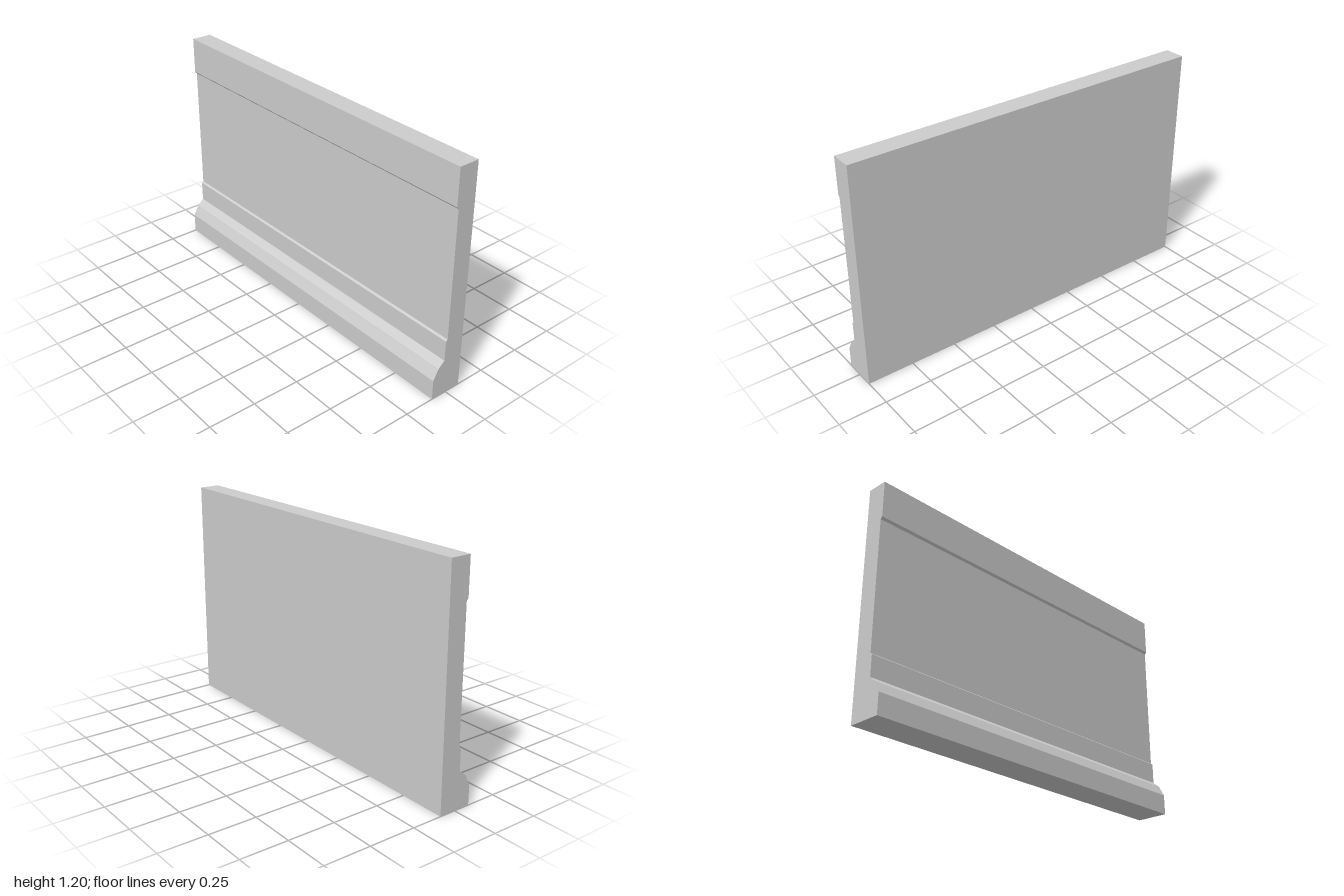
import * as THREE from 'three';

const LENGTH = 2;

// Cross-section in x/y, counter-clockwise from the lower front of the plinth
const PROFILE = [
  [-0.088, 0], [0.088, 0], [0.088, 1.2], [-0.022, 1.2], // foot, flat back, top
  [-0.022, 1.007], [-0.012, 0.996],                     // bevel under the top rail
  [-0.012, 0.311], [-0.022, 0.303],                     // recessed panel, lower bevel
  [-0.022, 0.194], [-0.058, 0.164], [-0.088, 0.107],    // lower rail, sloped plinth cap
];

export function createModel() {
  const group = new THREE.Group();
  group.name = 'wallPanel';

  const shape = new THREE.Shape(PROFILE.map(([x, y]) => new THREE.Vector2(x, y)));
  const geometry = new THREE.ExtrudeGeometry(shape, { depth: LENGTH, bevelEnabled: false });
  geometry.translate(0, 0, -LENGTH / 2);

  const panel = new THREE.Mesh(
    geometry,
    new THREE.MeshStandardMaterial({ color: 0xcccccc, flatShading: true })
  );
  panel.name = 'mouldedPanel';
  group.add(panel);
  return group;
}
